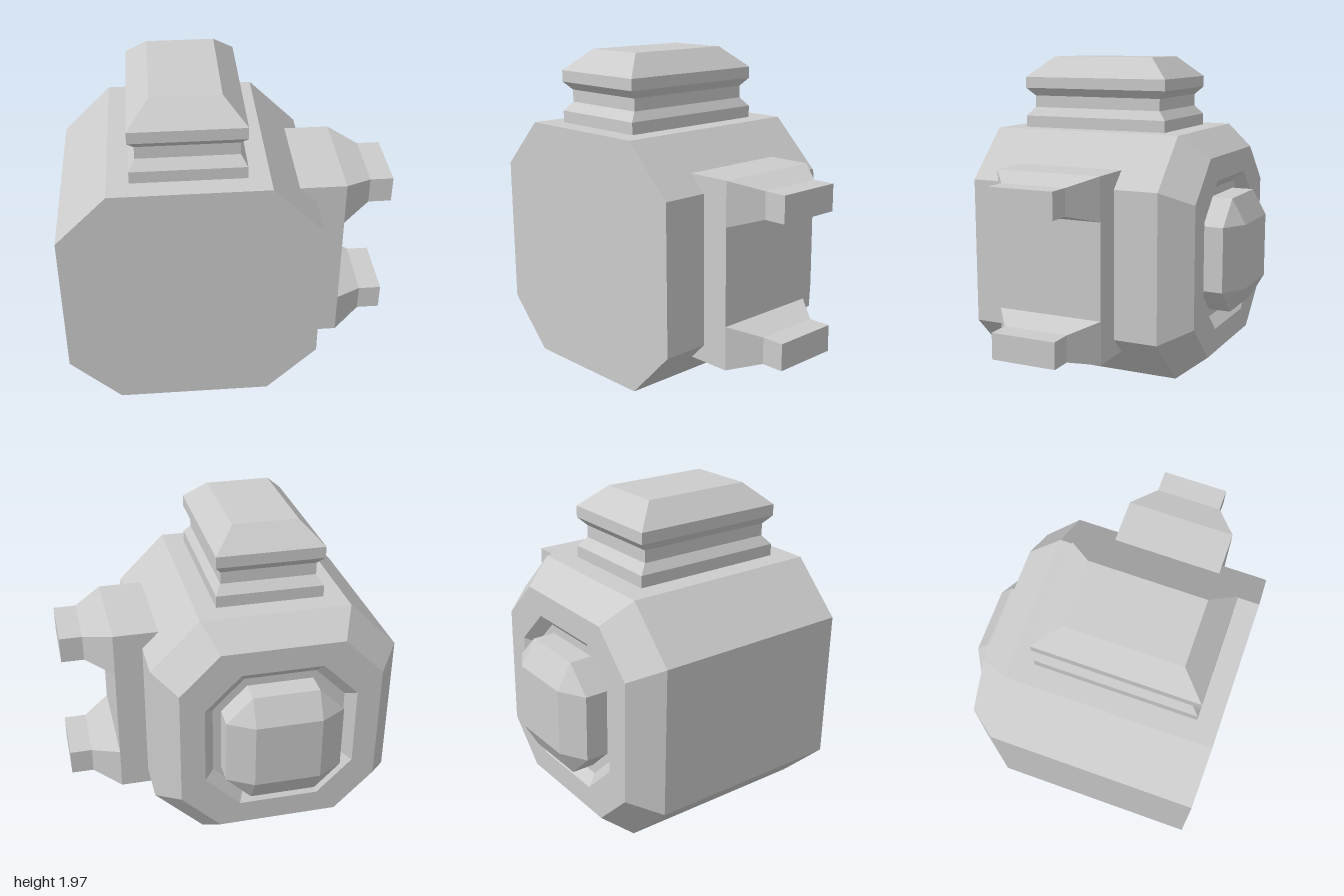
import * as THREE from 'three';

const CX = -0.243, CY = 0.76, NZ = 0.18; // body centre, neck centre in z
const V = (x, y, z) => new THREE.Vector3(x, y, z);

// Chamfered octagon facing z: h = half size, f = half length of the flat sides
const octagon = (h, f, z) =>
  [[h, -f], [h, f], [f, h], [-f, h], [-h, f], [-h, -f], [-f, -h], [f, -h]]
    .map(([x, y]) => V(CX + x, CY + y, z));

// Rectangle facing up, centred on the neck axis
const rectY = (hx, hz, y) =>
  [[1, 1], [1, -1], [-1, -1], [-1, 1]].map(([a, b]) => V(CX + a * hx, y, NZ + b * hz));

// Rectangle facing +x
const rectX = (hy, hz, cy, cz, x) =>
  [[-1, -1], [1, -1], [1, 1], [-1, 1]].map(([a, b]) => V(x, cy + a * hy, cz + b * hz));

// Flat-faced skin over a row of matching rings, with optional end caps
function loft(rings, { start = true, end = true, skip = () => false } = {}) {
  const pos = [];
  const tri = (a, b, c) => {
    const area = b.clone().sub(a).cross(c.clone().sub(a)).length();
    if (area > 1e-7) for (const p of [a, b, c]) pos.push(p.x, p.y, p.z);
  };
  const cap = (r) => { for (let j = 1; j < r.length - 1; j++) tri(r[0], r[j], r[j + 1]); };
  for (let i = 0; i < rings.length - 1; i++) {
    const r = rings[i], s = rings[i + 1], n = r.length;
    for (let j = 0; j < n; j++) {
      if (skip(i, j)) continue;
      const k = (j + 1) % n;
      tri(r[j], r[k], s[k]);
      tri(r[j], s[k], s[j]);
    }
  }
  if (start) cap([...rings[0]].reverse());
  if (end) cap(rings[rings.length - 1]);
  const g = new THREE.BufferGeometry();
  g.setAttribute('position', new THREE.Float32BufferAttribute(pos, 3));
  g.computeVertexNormals();
  return g;
}

export function createModel() {
  const group = new THREE.Group();
  const material = new THREE.MeshStandardMaterial({ color: 0xcccccc, flatShading: true });
  const add = (name, geometry) => {
    const mesh = new THREE.Mesh(geometry, material);
    mesh.name = name;
    group.add(mesh);
  };

  // Octagonal body: sunken back, bevelled rim, flat front; the underside is left open
  add('body', loft([
    octagon(0.41, 0.22, -0.57),
    octagon(0.47, 0.25, -0.63),
    octagon(0.62, 0.375, -0.63),
    octagon(0.757, 0.457, -0.45),
    octagon(0.757, 0.457, 0.8),
  ], { skip: (i, j) => i === 3 && j === 6 }));

  // Underside panel with a rectangular opening
  const panel = new THREE.Shape([[-0.7, -0.45], [0.214, -0.45], [0.214, 0.8], [-0.7, 0.8]]
    .map(([x, z]) => new THREE.Vector2(x, z)));
  panel.holes.push(new THREE.Path(rectY(0.33, 0.49, 0).map((p) => new THREE.Vector2(p.x, p.z))));
  add('undersidePanel', new THREE.ShapeGeometry(panel).rotateX(Math.PI / 2).translate(0, 0.003, 0));

  // Socket inside that opening
  add('undersideSocket', loft([0.003, 0.2].map((y) => rectY(0.33, 0.49, y).reverse()), { start: false }));

  // Grooved neck and bevelled cap: [half x, half z, y]
  add('neck', loft([
    [0.33, 0.49, 1.517], [0.33, 0.49, 1.59], [0.293, 0.44, 1.645], [0.293, 0.44, 1.72],
    [0.33, 0.49, 1.77], [0.33, 0.49, 1.84], [0.2, 0.345, 1.97],
  ].map((r) => rectY(...r)), { start: false }));

  // Back knob: octagon narrowing to a square face
  add('backKnob', loft([
    octagon(0.203, 0.203, -0.8),
    octagon(0.36, 0.203, -0.71),
    octagon(0.36, 0.203, -0.57),
  ], { end: false }));

  // Side mount plate with two tapered prongs
  add('sidePlate', loft([rectX(0.56, 0.342, CY, 0.17, 0.35), rectX(0.56, 0.342, CY, 0.17, 0.69)]));
  for (const [name, s] of [['upperProng', 1], ['lowerProng', -1]]) {
    const y = CY + s * 0.427;
    add(name, loft([
      rectX(0.133, 0.342, y, 0.17, 0.69),
      rectX(0.081, 0.208, y, 0.17, 0.86),
      rectX(0.081, 0.208, y, 0.17, 1),
    ], { start: false }));
  }
  return group;
}
